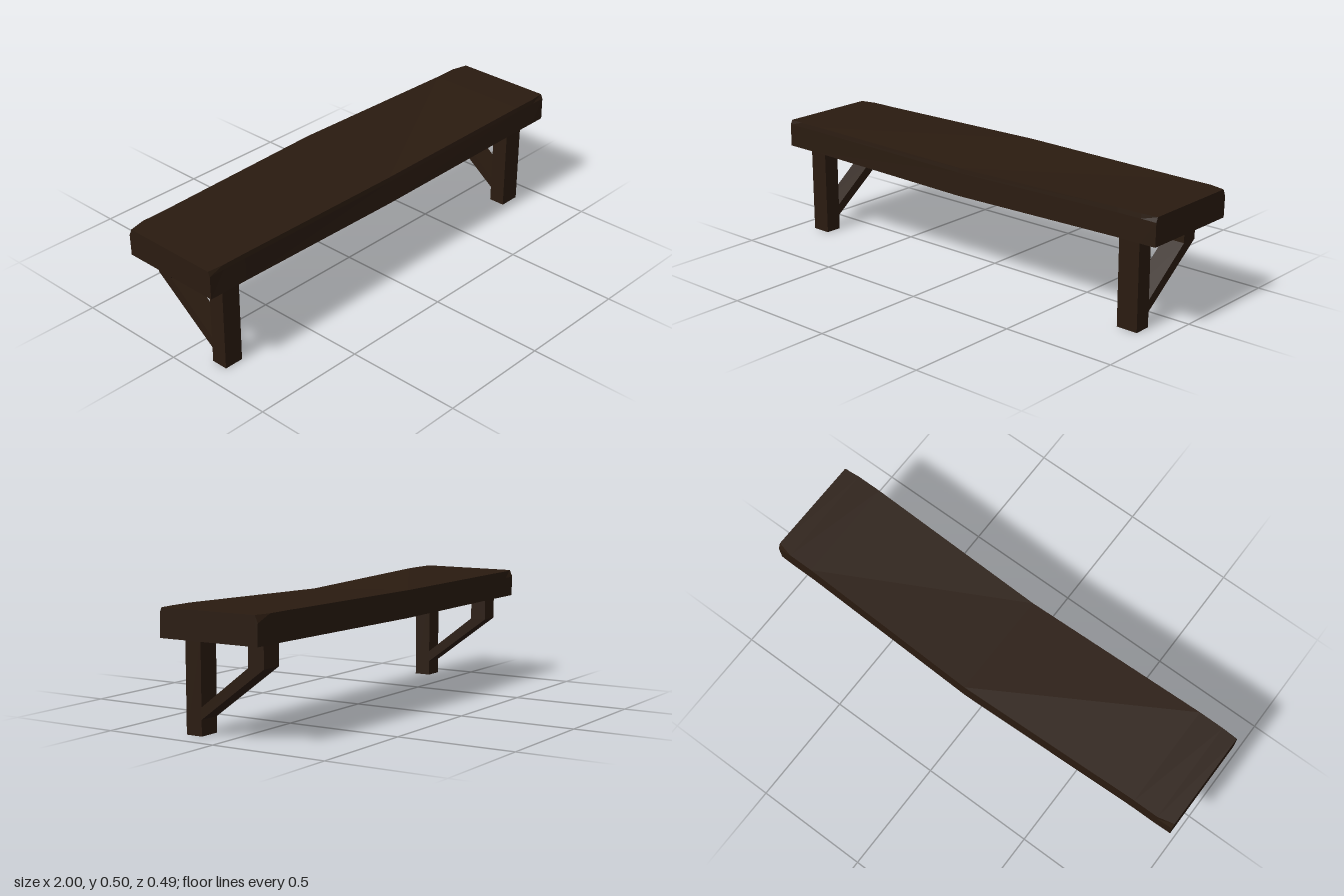
import * as THREE from 'three';

const wood = new THREE.MeshStandardMaterial({ color: 0x2a1b10, roughness: 0.9, flatShading: true });

// Seat slab: cross-sections along x, each a ring of [z, y] corners
function seatGeometry() {
  // back bottom, back upper, back top, front top, front upper, front bottom
  const end = [[-0.21, 0.383], [-0.213, 0.47], [-0.2, 0.5], [0.233, 0.5], [0.242, 0.48], [0.243, 0.383]];
  const shoulder = [[-0.212, 0.383], [-0.216, 0.47], [-0.217, 0.5], [0.239, 0.5], [0.241, 0.48], [0.244, 0.383]];
  const middle = [[-0.238, 0.383], [-0.242, 0.47], [-0.244, 0.5], [0.223, 0.48], [0.225, 0.46], [0.23, 0.362]];
  const sections = [
    [-1, end], [-0.93, shoulder], [-0.82, shoulder], [0, middle],
    [0.82, shoulder], [0.93, shoulder], [1, end],
  ];
  const n = end.length;
  const positions = [];
  const index = [];
  for (const [x, ring] of sections) for (const [z, y] of ring) positions.push(x, y, z);
  for (let s = 0; s < sections.length - 1; s++) {
    for (let i = 0; i < n; i++) {
      const a = s * n + i, b = s * n + (i + 1) % n;
      index.push(a, b, a + n, b, b + n, a + n);
    }
  }
  // End caps
  const last = (sections.length - 1) * n;
  for (let i = 1; i < n - 1; i++) {
    index.push(0, i + 1, i);
    index.push(last, last + i, last + i + 1);
  }
  const geo = new THREE.BufferGeometry();
  geo.setAttribute('position', new THREE.Float32BufferAttribute(positions, 3));
  geo.setIndex(index);
  const flat = geo.toNonIndexed();
  flat.computeVertexNormals();
  return flat;
}

// Side profile of [z, y] points extruded across x, centred on x = 0
function profileGeometry(points, width) {
  const shape = new THREE.Shape(points.map(([z, y]) => new THREE.Vector2(-z, y)));
  const geo = new THREE.ExtrudeGeometry(shape, { depth: width, bevelEnabled: false });
  geo.translate(0, 0, -width / 2);
  geo.rotateY(Math.PI / 2);
  return geo;
}

function part(name, geometry) {
  const mesh = new THREE.Mesh(geometry, wood);
  mesh.name = name;
  return mesh;
}

// Front leg with a diagonal strut rising to a short post under the back
function support(name, x, width) {
  const group = new THREE.Group();
  group.name = name;
  group.add(
    part('leg', profileGeometry([[0.203, 0], [0.13, 0], [0.13, 0.385], [0.203, 0.385]], width)),
    part('brace', profileGeometry([
      [0.13, 0.065], [-0.165, 0.284], [-0.165, 0.385],
      [-0.093, 0.385], [-0.093, 0.284], [0.13, 0.113],
    ], width)),
  );
  group.position.x = x;
  return group;
}

export function createModel() {
  const model = new THREE.Group();
  model.name = 'bench';
  model.add(
    part('seat', seatGeometry()),
    support('rightSupport', -0.867, 0.085),
    support('leftSupport', 0.852, 0.095),
  );
  return model;
}
